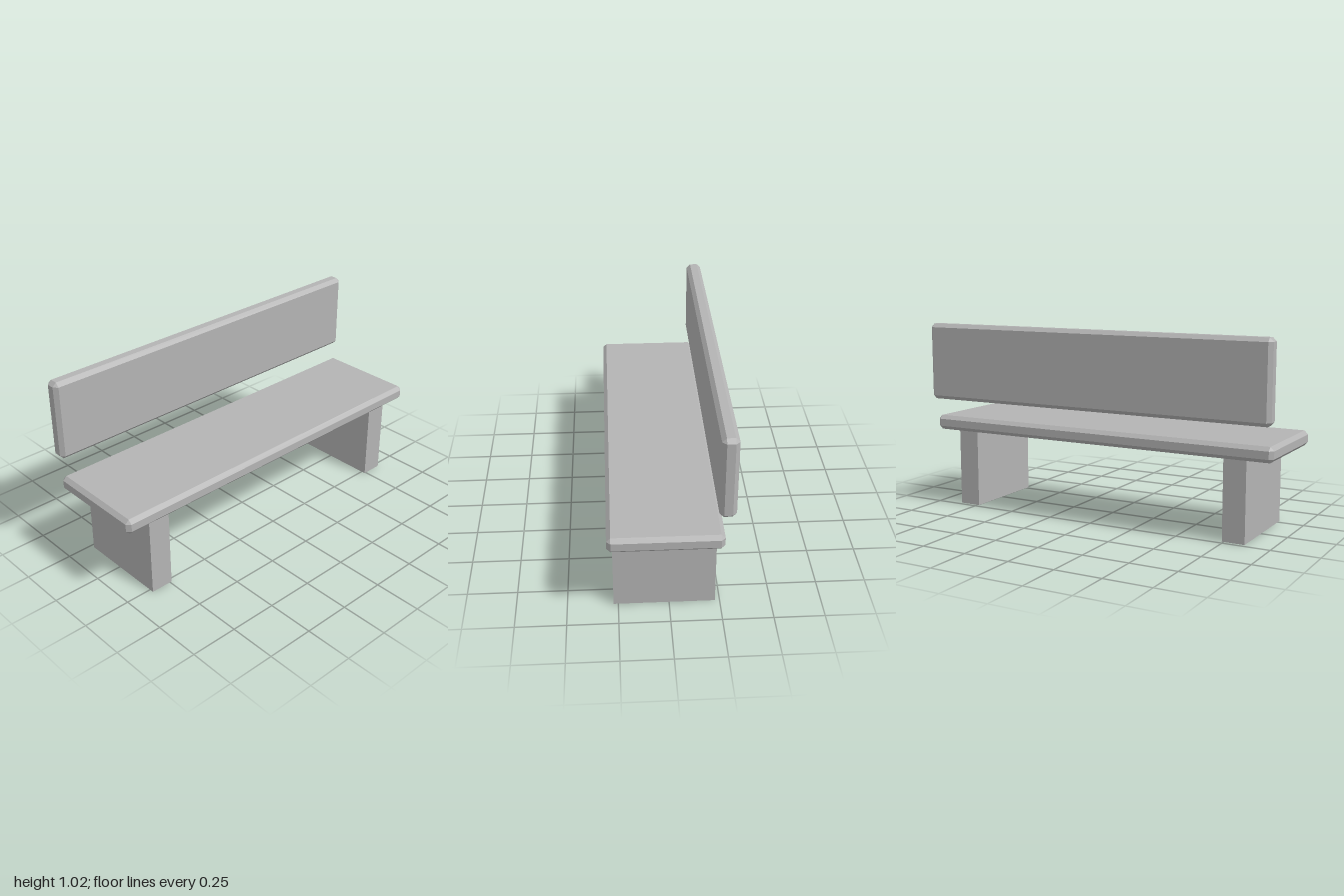
import * as THREE from 'three';
import { ConvexGeometry } from 'three/addons/geometries/ConvexGeometry.js';

// Box with every edge chamfered by c and a small triangle at each corner
function chamferedBox(w, h, d, c) {
  const points = [];
  for (const sx of [-1, 1]) for (const sy of [-1, 1]) for (const sz of [-1, 1]) {
    for (let axis = 0; axis < 3; axis++) {
      const inset = [c, c, c];
      inset[axis] = 0;
      points.push(new THREE.Vector3(
        sx * (w / 2 - inset[0]),
        sy * (h / 2 - inset[1]),
        sz * (d / 2 - inset[2])
      ));
    }
  }
  return new ConvexGeometry(points);
}

export function createModel() {
  const bench = new THREE.Group();
  bench.name = 'bench';
  const grey = new THREE.MeshStandardMaterial({ color: 0xb4b4b4, flatShading: true });
  grey.name = 'stone grey';

  function add(name, geometry, x, y, z) {
    const mesh = new THREE.Mesh(geometry, grey);
    mesh.name = name;
    mesh.position.set(x, y, z);
    bench.add(mesh);
  }

  // Boards
  add('seat', chamferedBox(2, 0.08, 0.55, 0.02), 0, 0.46, 0.024);
  add('backrest', chamferedBox(2, 0.42, 0.08, 0.02), 0, 0.811, -0.257);

  // Slab legs
  const leg = new THREE.BoxGeometry(0.12, 0.42, 0.5);
  for (const side of [-1, 1]) {
    add(side > 0 ? 'leftLeg' : 'rightLeg', leg, side * 0.8, 0.21, 0.023);
  }
  return bench;
}
